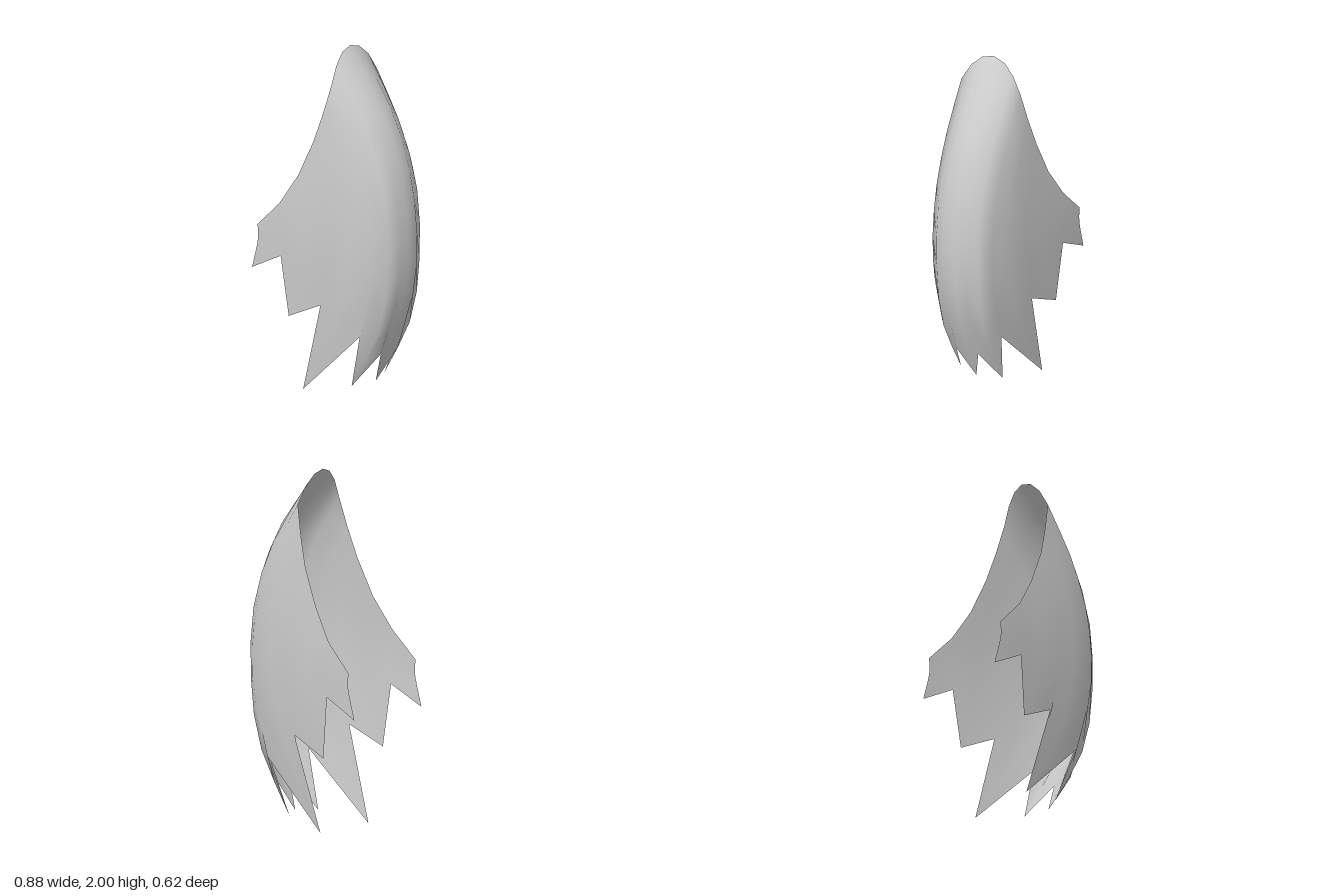
import * as THREE from 'three';

// Ribs of one half, from the middle of the back to the open edge.
// z: offset at top and bottom; p: [x, y] points from the top edge down to the torn hem.
const RIBS = [
  { z: [0, 0], p: [[0.01, 2], [0.29, 1.61], [0.42, 1.2], [0.43, 0.72], [0.36, 0.43], [0.2, 0.07]] },
  { z: [0.07, 0.07], p: [[0.015, 1.98], [0.29, 1.6], [0.42, 1.2], [0.435, 0.72], [0.3, 0.27]] },
  { z: [0.133, 0.133], p: [[0.027, 1.92], [0.26, 1.57], [0.39, 1.2], [0.4, 0.72], [0.34, 0.43], [0.14, 0.06]] },
  { z: [0.19, 0.19], p: [[0.04, 1.82], [0.22, 1.52], [0.33, 1.2], [0.35, 0.8], [0.25, 0.39]] },
  { z: [0.215, 0.222], bulge: 0.01, p: [[0, 1.65], [0.16, 1.3], [0.2, 0.9], [0.12, 0.5], [-0.14, 0]] },
  { z: [0.24, 0.25], bulge: 0.006, p: [[-0.05, 1.48], [0.06, 1.2], [0.08, 0.9], [0.02, 0.54]] },
  { z: [0.263, 0.275], bulge: 0.004, p: [[-0.14, 1.27], [-0.08, 1.05], [-0.09, 0.8], [-0.2, 0.43]] },
  { z: [0.294, 0.297], p: [[-0.25, 1.09], [-0.24, 0.95], [-0.24, 0.78]] },
  { z: [0.31, 0.31], p: [[-0.4, 0.93], [-0.395, 0.86], [-0.44, 0.67]] },
];
const ROWS = 10;

// Evenly spaced points down one rib; side is 1 or -1
function sampleRib({ z, p, bulge = 0 }, side) {
  const curve = new THREE.CatmullRomCurve3(p.map(([x, y]) => new THREE.Vector3(x, y, 0)));
  return curve.getSpacedPoints(ROWS).map((v, j) => {
    const t = j / ROWS;
    v.z = side * (THREE.MathUtils.lerp(z[0], z[1], t) + bulge * Math.sin(Math.PI * t));
    return v;
  });
}

export function createModel() {
  const group = new THREE.Group();
  group.name = 'tornCape';

  // Mirrored ribs, ordered from -z to +z
  const ribs = [
    ...RIBS.slice(1).reverse().map((r) => sampleRib(r, -1)),
    ...RIBS.map((r) => sampleRib(r, 1)),
  ];

  // Skin between neighbouring ribs; the last row makes the jagged hem
  const index = [];
  const w = ROWS + 1;
  for (let i = 0; i < ribs.length - 1; i++) {
    for (let j = 0; j < ROWS; j++) {
      const a = i * w + j, b = a + w;
      index.push(a, b, a + 1, b, b + 1, a + 1);
    }
  }
  const geometry = new THREE.BufferGeometry().setFromPoints(ribs.flat());
  geometry.setIndex(index);
  geometry.computeVertexNormals();

  const cloth = new THREE.Mesh(
    geometry,
    new THREE.MeshStandardMaterial({ color: 0xcccccc, side: THREE.DoubleSide })
  );
  cloth.name = 'clothShell';
  group.add(cloth);
  return group;
}
